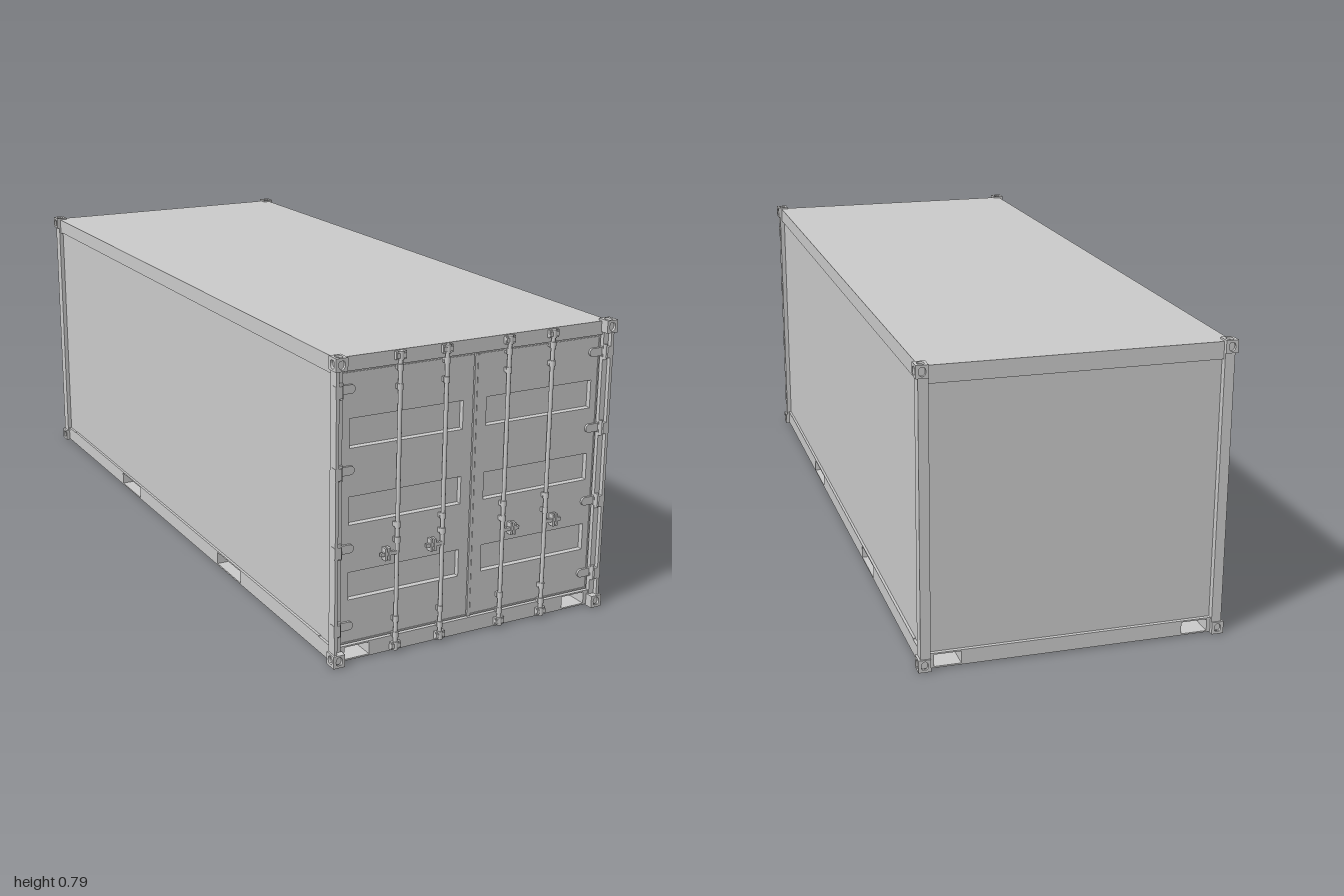
import * as THREE from 'three';

const mat = new THREE.MeshStandardMaterial({ color: 0xcccccc });

function add(parent, name, geo, x = 0, y = 0, z = 0) {
  const m = new THREE.Mesh(geo, mat);
  m.name = name;
  m.position.set(x, y, z);
  parent.add(m);
  return m;
}
// box given by its limits
function box(parent, name, x0, x1, y0, y1, z0, z1) {
  return add(parent, name, new THREE.BoxGeometry(Math.abs(x1 - x0), y1 - y0, Math.abs(z1 - z0)),
    (x0 + x1) / 2, (y0 + y1) / 2, (z0 + z1) / 2);
}
function rect(Type, x0, x1, y0, y1) {
  return new Type([[x0, y0], [x1, y0], [x1, y1], [x0, y1]].map(p => new THREE.Vector2(...p)));
}
// rectangular slab with rectangular holes
function slab(x0, x1, y0, y1, holes, opts) {
  const s = rect(THREE.Shape, x0, x1, y0, y1);
  holes.forEach(h => s.holes.push(rect(THREE.Path, ...h)));
  return new THREE.ExtrudeGeometry(s, { bevelEnabled: false, ...opts });
}

// corner casting: a core with three pierced outer plates
function casting(sx, sy, sz) {
  const g = new THREE.Group();
  g.name = 'cornerCasting';
  const W = 0.032, H = 0.033, D = 0.036, T = 0.007;
  box(g, 'castingCore', -sx * W / 2, sx * (W / 2 - T), -H / 2 + (sy < 0 ? T : 0), H / 2 - (sy > 0 ? T : 0),
    -sz * D / 2, sz * (D / 2 - T));
  const plate = (w, h, rx, ry) => {
    const s = rect(THREE.Shape, -w / 2, w / 2, -h / 2, h / 2);
    s.holes.push(new THREE.Path().absellipse(0, 0, rx, ry, 0, Math.PI * 2));
    const e = new THREE.ExtrudeGeometry(s, { depth: T, bevelEnabled: false, curveSegments: 10 });
    return e.translate(0, 0, -T / 2);
  };
  add(g, 'castingEnd', plate(W, H, 0.009, 0.012), 0, 0, sz * (D / 2 - T / 2));
  add(g, 'castingSide', plate(D, H, 0.01, 0.012), sx * (W / 2 - T / 2), 0, 0).rotation.y = Math.PI / 2;
  add(g, 'castingCap', plate(W, D, 0.009, 0.013), 0, sy * (H / 2 - T / 2), 0).rotation.x = Math.PI / 2;
  g.position.set(sx * (0.404 - W / 2), sy > 0 ? 0.785 - H / 2 : H / 2, sz * (1 - D / 2));
  return g;
}

// full-height locking bar with cams, guides and handle; dir is the handle side
function lockBar(x, dir) {
  const g = new THREE.Group();
  g.name = 'lockBar';
  add(g, 'bar', new THREE.CylinderGeometry(0.0055, 0.0055, 0.755, 12), 0, 0.393, 0.982);
  for (const y of [0.017, 0.767]) {
    box(g, 'camKeeper', -0.013, 0.013, y - 0.006, y + 0.006, 0.97, 0.988);
    for (const s of [-1, 1]) box(g, 'camJaw', s * 0.007, s * 0.014, y - 0.01, y + 0.01, 0.97, 0.985);
    add(g, 'cam', new THREE.CylinderGeometry(0.008, 0.008, 0.022, 12), 0, y, 0.982);
  }
  for (const y of [0.047, 0.09, 0.3, 0.34, 0.69, 0.738]) {
    add(g, 'guide', new THREE.CylinderGeometry(0.0075, 0.0075, 0.016, 12), 0, y, 0.982);
    box(g, 'guidePlate', -0.008, 0.008, y - 0.006, y + 0.006, 0.968, 0.98);
  }
  box(g, 'handle', 0, dir * 0.048, 0.264, 0.273, 0.98, 0.987);
  for (const o of [0.024, 0.034]) box(g, 'handleCatch', dir * (o - 0.003), dir * (o + 0.003), 0.252, 0.284, 0.97, 0.989);
  g.position.x = x;
  return g;
}

// strap hinge with a rounded tip, built for the left side
function hinge(y) {
  const g = new THREE.Group();
  g.name = 'hinge';
  const s = new THREE.Shape();
  s.moveTo(0.394, -0.016);
  s.lineTo(0.378, -0.016);
  s.lineTo(0.374, -0.011);
  s.lineTo(0.35, -0.011);
  s.absarc(0.35, 0, 0.011, -Math.PI / 2, Math.PI / 2, true);
  s.lineTo(0.374, 0.011);
  s.lineTo(0.378, 0.016);
  s.lineTo(0.394, 0.016);
  add(g, 'strap', new THREE.ExtrudeGeometry(s, { depth: 0.012, bevelEnabled: false, curveSegments: 8 }), 0, 0, 0.966);
  box(g, 'lug', 0.382, 0.4, -0.015, 0.015, 0.976, 0.994);
  add(g, 'pin', new THREE.CylinderGeometry(0.005, 0.005, 0.04, 10), 0.381, 0, 0.984);
  g.position.y = y;
  return g;
}

export function createModel() {
  const model = new THREE.Group();
  model.name = 'shippingContainer';

  // walls, roof and underframe
  box(model, 'wallShell', -0.386, 0.386, 0.042, 0.775, -0.978, 0.962);
  box(model, 'roof', -0.393, 0.393, 0.765, 0.78, -0.988, 0.976);
  box(model, 'underframe', -0.32, 0.32, 0.004, 0.045, -0.905, 0.905);

  // end sills with fork pockets
  const pockets = [[-0.362, -0.292, 0.007, 0.039], [0.292, 0.362, 0.007, 0.039]];
  add(model, 'frontSill', slab(-0.393, 0.393, 0.003, 0.043, pockets, { depth: 0.077 }), 0, 0, 0.9);
  add(model, 'backSill', slab(-0.393, 0.393, 0.003, 0.043, pockets, { depth: 0.088 }), 0, 0, -0.988);
  box(model, 'frontHeader', -0.393, 0.393, 0.744, 0.779, 0.95, 0.976);
  box(model, 'backHeader', -0.393, 0.393, 0.735, 0.779, -0.988, -0.95);

  // side rails, with fork pockets in the lower ones
  const sidePockets = [[-0.443, -0.293, 0.007, 0.041], [0.293, 0.443, 0.007, 0.041]];
  for (const s of [-1, 1]) {
    const rail = add(model, 'bottomSideRail', slab(-0.9, 0.9, 0.003, 0.045, sidePockets, { depth: 0.08 }),
      s > 0 ? 0.313 : -0.393);
    rail.rotation.y = Math.PI / 2;
    box(model, 'topSideRail', s * 0.37, s * 0.393, 0.738, 0.779, -0.97, 0.97);
    for (const e of [-1, 1]) {
      for (const v of [-1, 1]) model.add(casting(s, v, e));
    }
    // corner posts: the front ones are stepped to take the hinges
    box(model, 'backPost', s * 0.372, s * 0.398, 0.03, 0.755, -0.996, -0.962);
    box(model, 'frontPost', s * 0.376, s * 0.398, 0.03, 0.755, 0.964, 0.982);
    box(model, 'frontPostLip', s * 0.391, s * 0.399, 0.03, 0.755, 0.964, 0.994);
  }

  // doors with three recessed, sloped-edge panels each
  const recesses = [[0.165, 0.233], [0.36, 0.428], [0.555, 0.625]];
  for (const s of [-1, 1]) {
    const door = new THREE.Group();
    door.name = s > 0 ? 'leftDoor' : 'rightDoor';
    const holes = recesses.map(([a, b]) => [...(s > 0 ? [0.037, 0.348] : [-0.348, -0.037]), a, b - 0.002]);
    const [x0, x1] = s > 0 ? [0.003, 0.375] : [-0.375, -0.003];
    add(door, 'doorPanel', slab(x0, x1, 0.043, 0.744, holes, {
      depth: 0.002, bevelEnabled: true, bevelThickness: 0.009, bevelSize: 0.003, bevelOffset: -0.003, bevelSegments: 1
    }), 0, 0, 0.961);
    // raised edge trim at top and bottom
    for (const y of [0.047, 0.736]) box(door, 'doorSeal', s * 0.008, s * 0.372, y, y + 0.004, 0.965, 0.974);
    box(door, 'outerSeal', s * 0.369, s * 0.373, 0.047, 0.74, 0.965, 0.974);
    door.add(lockBar(s * 0.09, s), lockBar(s * 0.22, s));
    model.add(door);
  }
  box(model, 'centreSeal', -0.004, 0.004, 0.045, 0.742, 0.96, 0.974);

  // hinges, turned half round and reflected by position for the right side
  for (const y of [0.095, 0.298, 0.498, 0.7]) {
    model.add(hinge(y));
    const h = hinge(y);
    h.children.forEach(c => {
      c.position.x *= -1;
      if (c.name === 'strap') {
        c.rotation.y = Math.PI;
        c.position.z = 0.978;
      }
    });
    model.add(h);
  }
  return model;
}
